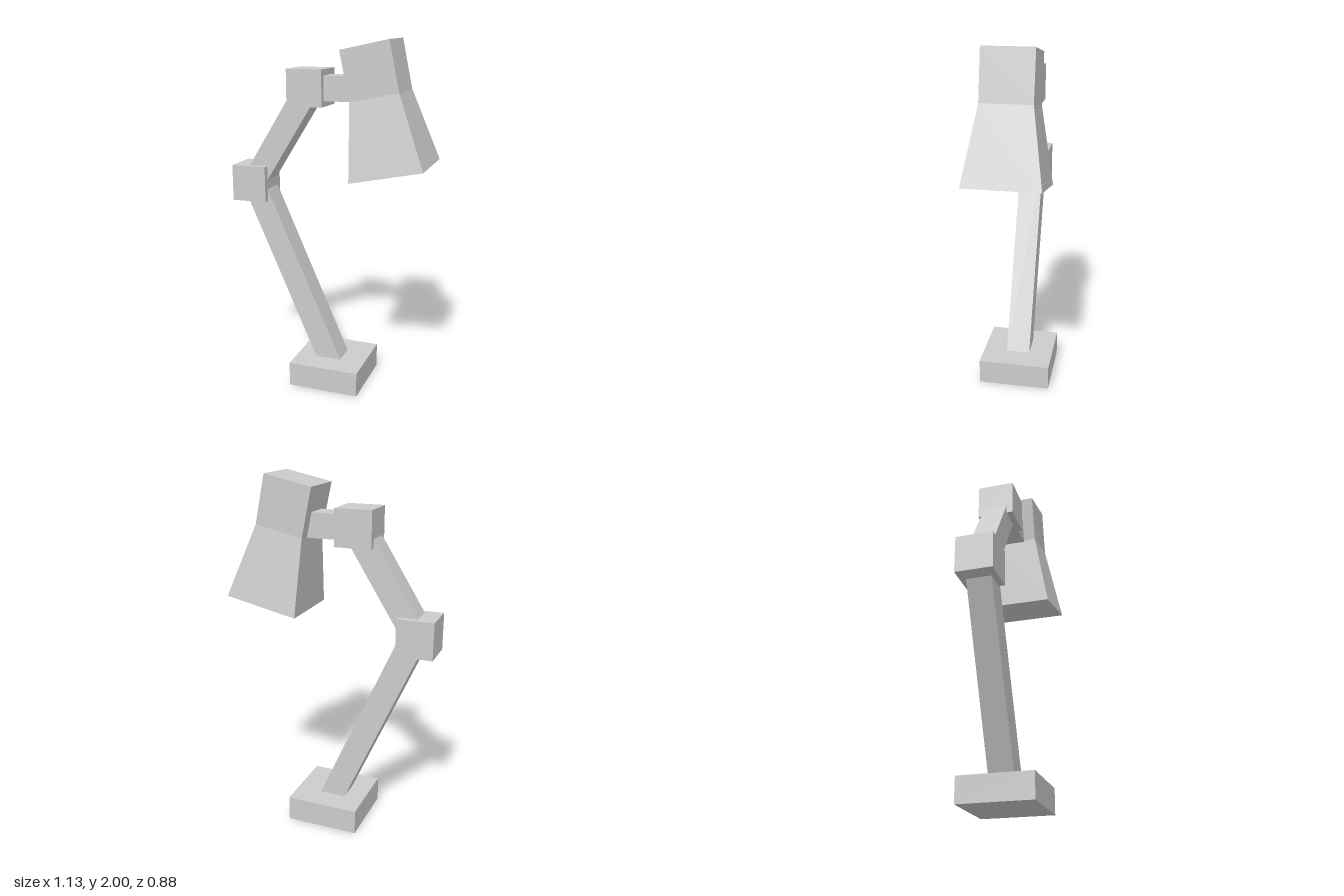
import * as THREE from 'three';

const material = new THREE.MeshStandardMaterial({ color: 0xcccccc, flatShading: true });

function box(name, w, h, d, x, y) {
  const mesh = new THREE.Mesh(new THREE.BoxGeometry(w, h, d), material);
  mesh.name = name;
  mesh.position.set(x, y, 0);
  return mesh;
}

// Square bar running between two points of the lamp's middle plane
function bar(name, thickness, [x0, y0], [x1, y1]) {
  const length = Math.hypot(x1 - x0, y1 - y0);
  const mesh = box(name, thickness, length, thickness, (x0 + x1) / 2, (y0 + y1) / 2);
  mesh.rotation.z = -Math.atan2(x1 - x0, y1 - y0);
  return mesh;
}

export function createModel() {
  const model = new THREE.Group();
  model.name = 'deskLamp';

  // The lamp is laid out along its own x axis, then turned about y
  const lamp = new THREE.Group();
  lamp.name = 'lamp';
  const turn = THREE.MathUtils.degToRad(-32.8);
  lamp.rotation.y = turn;
  lamp.position.set(-0.022 * Math.sin(turn), 0, -0.022 * Math.cos(turn));
  model.add(lamp);

  lamp.add(
    box('base', 0.415, 0.142, 0.412, -0.034, 0.071),
    bar('lowerArm', 0.138, [-0.03, 0.1], [-0.507, 1.183]),
    box('elbowJoint', 0.205, 0.207, 0.205, -0.52, 1.183),
    bar('upperArm', 0.135, [-0.511, 1.183], [-0.163, 1.738]),
    box('headJoint', 0.205, 0.202, 0.205, -0.172, 1.738),
    box('neck', 0.33, 0.136, 0.136, 0.01, 1.737)
  );

  // Shade: square housing flaring into a closed square hood, tilted forward
  const profile = [[0, -0.69], [0.206, -0.69], [0.1375, -0.274], [0.1375, 0], [0, 0]]
    .map(([half, y]) => new THREE.Vector2(half * Math.SQRT2, y));
  const shade = new THREE.Mesh(new THREE.LatheGeometry(profile, 4, Math.PI / 4), material);
  shade.name = 'shade';
  shade.position.set(0.178, 1.9725, 0);
  shade.rotation.z = THREE.MathUtils.degToRad(12);
  lamp.add(shade);

  return model;
}
